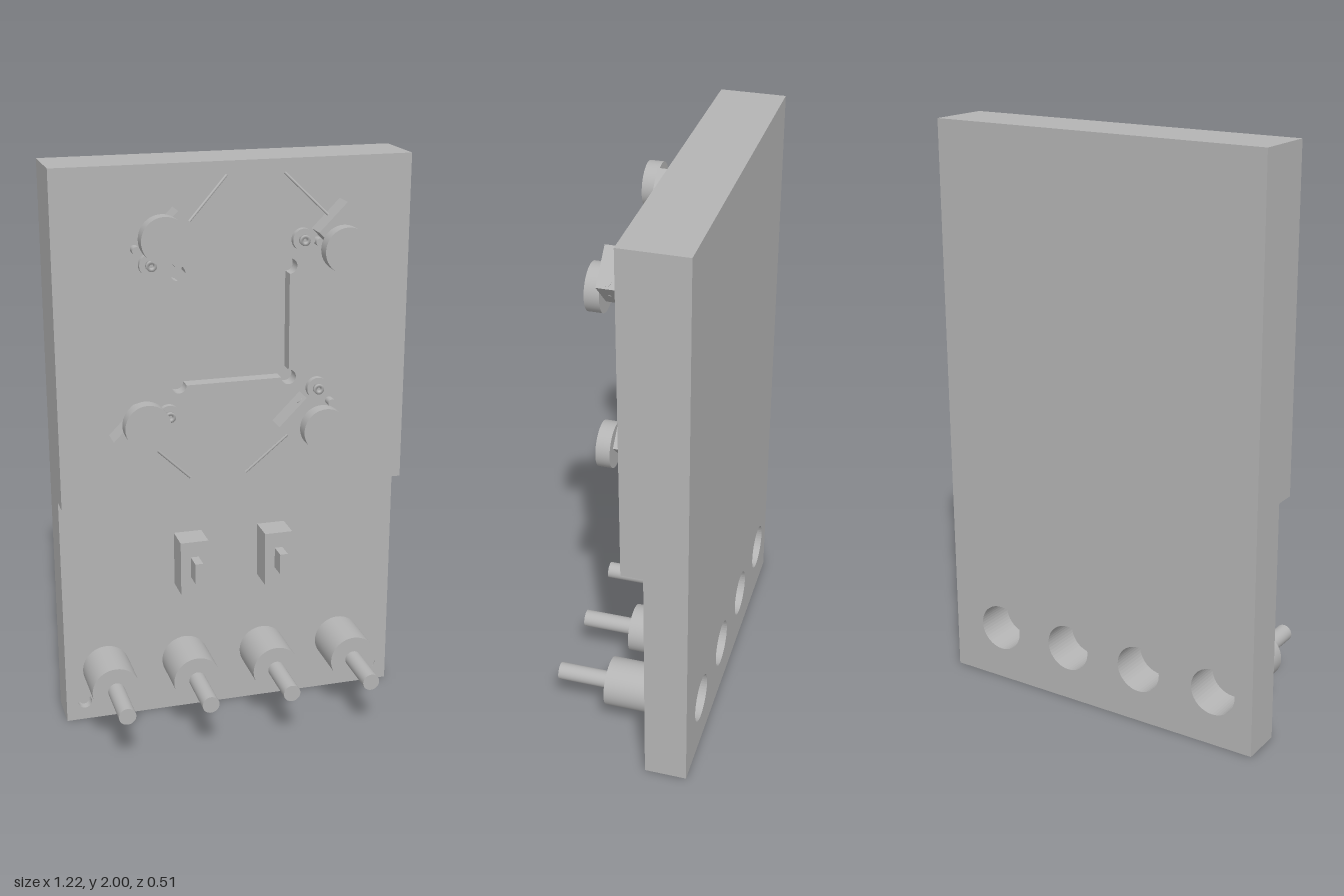
import * as THREE from 'three';

const grey = new THREE.MeshStandardMaterial({ color: 0xb4b4b4 });
grey.name = 'plain grey';

function add(parent, name, geometry, x = 0, y = 0, z = 0) {
  const mesh = new THREE.Mesh(geometry, grey);
  mesh.name = name;
  mesh.position.set(x, y, z);
  parent.add(mesh);
  return mesh;
}

// Cylinder along z from z0 to z1; r0 is the back radius, r1 the front radius
function rod(parent, name, x, y, z0, z1, r0, r1 = r0) {
  const geometry = new THREE.CylinderGeometry(r1, r0, z1 - z0, 40).rotateX(Math.PI / 2);
  return add(parent, name, geometry, x, y, (z0 + z1) / 2);
}

function block(parent, name, x, y, z0, z1, w, h) {
  return add(parent, name, new THREE.BoxGeometry(w, h, z1 - z0), x, y, (z0 + z1) / 2);
}

// Full-width layer of the case with optional cut-outs
function slab(parent, name, y0, y1, z0, z1, holes) {
  const shape = new THREE.Shape([[-0.612, y0], [0.612, y0], [0.612, y1], [-0.612, y1]]
    .map(([x, y]) => new THREE.Vector2(x, y)));
  shape.holes.push(...holes);
  const geometry = new THREE.ExtrudeGeometry(shape, { depth: z1 - z0, bevelEnabled: false, curveSegments: 24 });
  return add(parent, name, geometry, 0, 0, z0);
}

const roundHole = (x, y, r) => new THREE.Path().absarc(x, y, r, 0, Math.PI * 2, false);

// Square pocket with a relief circle at every corner
function pocketOutline(cx, cy, half, r) {
  const path = new THREE.Path();
  [[1, 1], [-1, 1], [-1, -1], [1, -1]].forEach(([sx, sy], i) => {
    const a = i * Math.PI / 2;
    path.absarc(cx + sx * half, cy + sy * half, r, a - Math.PI / 2, a + Math.PI, false);
  });
  path.closePath();
  return path;
}

// Toggle clamp: body, round cap, side holes, wire probe and fixing screw
function makeProbe(x, y, angle, screw, pin) {
  const probe = new THREE.Group();
  probe.name = 'probeHolder';
  probe.position.set(x, y, 0);
  probe.rotation.z = angle;
  block(probe, 'probeBody', 0, 0, 0, 0.078, 0.135, 0.135);
  rod(probe, 'probeCap', -0.031, 0.047, 0.078, 0.126, 0.077);
  rod(probe, 'probePost', -0.031, 0.047, -0.036, 0, 0.035);
  const path = new THREE.LineCurve3(new THREE.Vector3(0.055, 0, 0.026), new THREE.Vector3(0.262, 0, -0.018));
  add(probe, 'probeWire', new THREE.TubeGeometry(path, 1, 0.0045, 10));
  add(probe, 'sideScrew', new THREE.CylinderGeometry(0.012, 0.012, 0.004, 20), -0.047, -0.067, 0.046);
  add(probe, 'rearScrew', new THREE.CylinderGeometry(0.005, 0.005, 0.004, 16).rotateZ(Math.PI / 2), -0.067, 0, 0.05);
  rod(probe, 'screwWasher', ...screw, -0.036, -0.015, 0.038);
  const ring = [[0.008, -0.015], [0.018, -0.015], [0.018, 0], [0.008, 0], [0.008, -0.015]]
    .map(([r, h]) => new THREE.Vector2(r, h));
  add(probe, 'screwHead', new THREE.LatheGeometry(ring, 28).rotateX(Math.PI / 2), ...screw, 0);
  rod(probe, 'locatingPin', ...pin, -0.036, 0, 0.014);
  return probe;
}

export function createModel() {
  const model = new THREE.Group();
  model.name = 'testFixture';
  const knobs = [-0.463, -0.171, 0.121, 0.414];
  const knobHoles = () => knobs.map((x) => roundHole(x, 0.196, 0.083));

  // Stepped case
  slab(model, 'caseBack', 0, 2, -0.257, -0.15, knobHoles());
  slab(model, 'caseMiddle', 0, 2, -0.15, -0.11,
    [...knobHoles(), roundHole(-0.545, 0.07, 0.025), roundHole(0.545, 0.07, 0.025)]);
  slab(model, 'upperPanelBase', 0.85, 2, -0.11, -0.085, []);
  slab(model, 'upperPanel', 0.85, 2, -0.085, -0.035, [pocketOutline(-0.004, 1.448, 0.193, 0.026)]);

  // Knobs with shafts
  for (const x of knobs) {
    rod(model, 'knob', x, 0.196, -0.112, 0.072, 0.085);
    rod(model, 'knobShaft', x, 0.196, 0.07, 0.257, 0.03);
  }

  // Slide switches
  for (const x of [-0.156, 0.151]) {
    block(model, 'switchBody', x, 0.593, -0.112, -0.01, 0.1, 0.196);
    block(model, 'switchLever', x, 0.597, -0.012, 0.054, 0.028, 0.075);
  }

  // Case screws
  for (const x of [-0.5, 0.5]) {
    for (const y of [1.07, 1.828]) {
      rod(model, 'panelScrew', x, y, -0.04, -0.022, 0.028, 0.05);
    }
    rod(model, 'cornerScrew', x * 1.09, 0.07, -0.15, -0.13, 0.019);
  }

  // Four probe holders around the pocket
  const q = Math.PI / 4;
  const outer = [[-0.118, -0.017], [-0.115, 0.055]];
  const inner = [[0.053, 0.111], [0.01, 0.08]];
  model.add(
    makeProbe(-0.22, 1.772, q, ...outer),
    makeProbe(0.347, 1.772, 3 * q, ...inner),
    makeProbe(0.217, 1.116, 5 * q, ...outer),
    makeProbe(-0.352, 1.116, 7 * q, ...inner),
  );
  return model;
}
